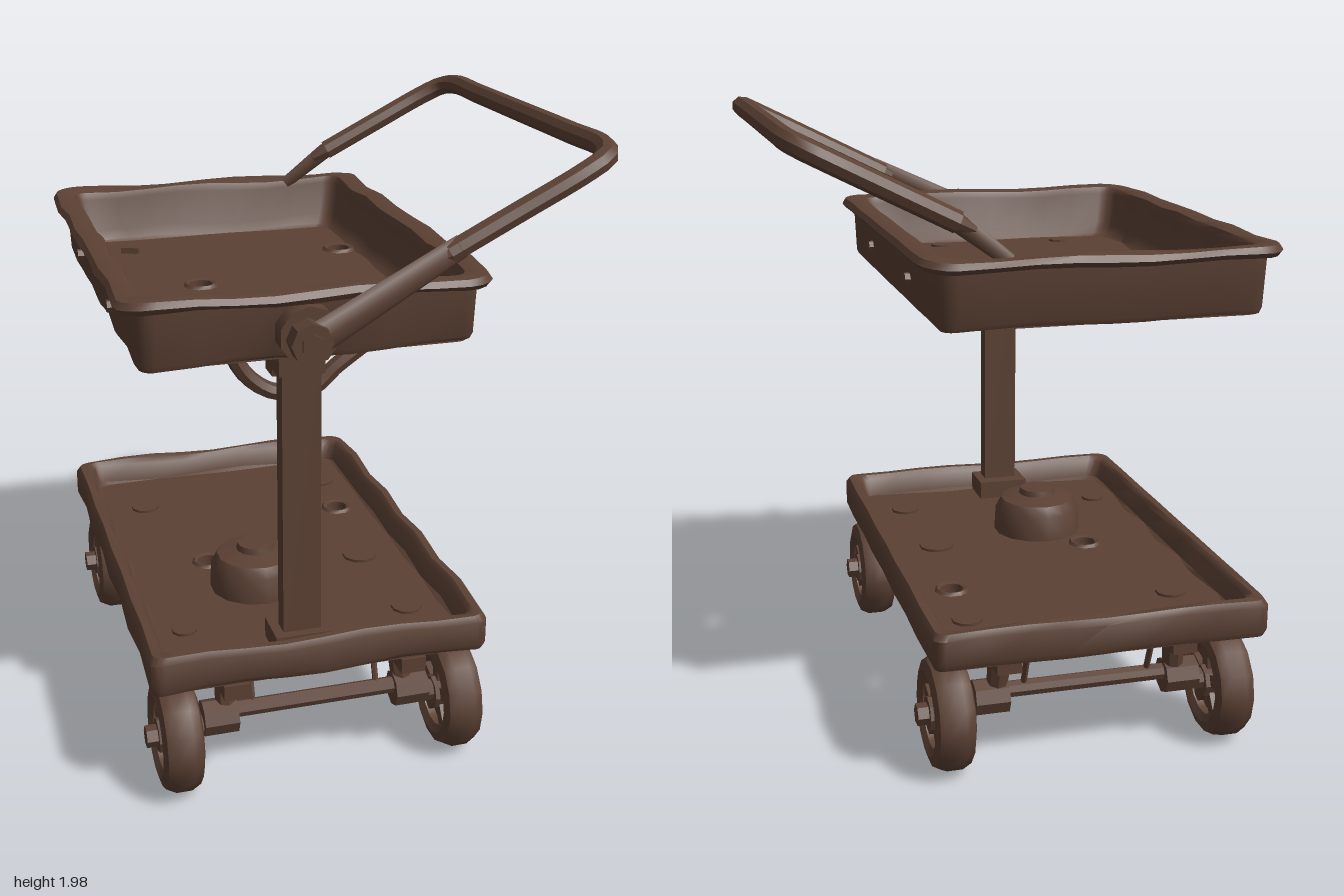
import * as THREE from 'three';
import { toCreasedNormals } from 'three/addons/utils/BufferGeometryUtils.js';

const brown = new THREE.MeshStandardMaterial({ color: 0x5c4134 });
brown.name = 'rusty brown';
const MID = -0.165; // x of the trolley's centre line
const HOLES = [[-0.37, 0], [0.19, -0.3]];

function add(parent, name, geometry, x = 0, y = 0, z = 0) {
  const mesh = new THREE.Mesh(toCreasedNormals(geometry, 0.7), brown);
  mesh.name = name;
  mesh.position.set(x, y, z);
  parent.add(mesh);
  return mesh;
}

const V = (x, y, z) => new THREE.Vector3(x, y, z);

// Straight tapered bar between two points, optionally flattened in z
function bar(parent, name, a, b, r0, r1, flat = 1, sides = 8) {
  const g = new THREE.CylinderGeometry(r1, r0, a.distanceTo(b), sides).scale(1, 1, flat);
  const mesh = add(parent, name, g, ...a.clone().lerp(b, 0.5).toArray());
  mesh.quaternion.setFromUnitVectors(V(0, 1, 0), b.clone().sub(a).normalize());
  return mesh;
}

// Disc whose axis runs along x or z
function disc(parent, name, r, length, axis, x, y, z, sides = 10) {
  const g = new THREE.CylinderGeometry(r, r, length, sides);
  if (axis === 'x') g.rotateZ(Math.PI / 2);
  if (axis === 'z') g.rotateX(Math.PI / 2);
  return add(parent, name, g, x, y, z);
}

// Rounded rectangle outline as [x, z] points, with subdivided sides
function outline(x0, x1, z0, z1, r) {
  const centres = [[x1 - r, z1 - r], [x0 + r, z1 - r], [x0 + r, z0 + r], [x1 - r, z0 + r]];
  const arc = (k, t) => {
    const a = (k + t) * Math.PI / 2;
    return [centres[k % 4][0] + r * Math.cos(a), centres[k % 4][1] + r * Math.sin(a)];
  };
  const pts = [];
  for (let k = 0; k < 4; k++) {
    for (let i = 0; i <= 4; i++) pts.push(arc(k, i / 4));
    const a = arc(k, 1), b = arc((k + 1) % 4, 0);
    for (let i = 1; i < 8; i++) pts.push([a[0] + (b[0] - a[0]) * i / 8, a[1] + (b[1] - a[1]) * i / 8]);
  }
  return pts;
}

// Tray: walls lofted through inset outlines, plus a pierced floor.
// rings: [inset, y, corner radius], from the outer bottom over the rim to the floor
function tray(parent, name, [x0, x1, z0, z1], rings, floorY, bottomY, floorInset) {
  const group = new THREE.Group();
  group.name = name;
  parent.add(group);
  const pos = [], index = [];
  let n = 0;
  rings.forEach(([d, y, r], i) => {
    const pts = outline(x0 + d, x1 - d, z0 + d, z1 - d, r);
    n = pts.length;
    pts.forEach(([x, z], j) => {
      const dent = 0.005 * Math.sin(11 * x + 17 * z + i * 0.4); // beaten metal
      pos.push(x + dent * 0.8, y + dent, z - dent * 0.8);
      if (i === rings.length - 1) return;
      const a = i * n + j, b = i * n + (j + 1) % n;
      index.push(a, a + n, b, b, a + n, b + n);
    });
  });
  const wall = new THREE.BufferGeometry();
  wall.setAttribute('position', new THREE.Float32BufferAttribute(pos, 3));
  wall.setIndex(index);
  add(group, name + 'Wall', wall);

  const d = floorInset;
  const shape = new THREE.Shape(outline(x0 + d, x1 - d, z0 + d, z1 - d, 0.04).map(p => new THREE.Vector2(...p)));
  for (const [x, z] of HOLES) shape.holes.push(new THREE.Path().absarc(x, z, 0.038, 0, Math.PI * 2, true));
  const floor = new THREE.ExtrudeGeometry(shape, { depth: floorY - bottomY, bevelEnabled: false, curveSegments: 5 });
  add(group, name + 'Floor', floor.rotateX(Math.PI / 2), 0, floorY, 0);

  // Worn collars around the drain holes
  for (const [x, z] of HOLES) for (const y of [floorY, bottomY]) {
    add(group, 'holeCollar', new THREE.TorusGeometry(0.047, 0.011, 5, 10).rotateX(Math.PI / 2), x, y, z);
  }
  return group;
}

function wheel(parent, x, z, side) {
  const group = new THREE.Group();
  group.name = 'wheel';
  group.position.set(x, 0.19, z);
  parent.add(group);
  const profile = [[0.112, -0.05], [0.135, -0.065], [0.168, -0.055], [0.184, -0.025], [0.184, 0.025],
    [0.168, 0.055], [0.135, 0.065], [0.112, 0.05], [0.112, -0.05]].map(p => new THREE.Vector2(...p));
  add(group, 'tyre', new THREE.LatheGeometry(profile, 14).rotateZ(Math.PI / 2));
  disc(group, 'wheelDisc', 0.118, 0.05, 'x', 0, 0, 0, 14);
  for (let i = 0; i < 5; i++) {
    const a = i * Math.PI * 2 / 5;
    const spoke = add(group, 'spoke', new THREE.BoxGeometry(0.09, 0.075, 0.04), 0, 0.08 * Math.cos(a), 0.08 * Math.sin(a));
    spoke.rotation.x = a;
  }
  disc(group, 'hub', 0.055, 0.12, 'x', 0, 0, 0, 8);
  disc(group, 'axleNut', 0.035, 0.09, 'x', side * 0.05, 0, 0, 6);
}

// Axle with a mirrored pair of wheels and brackets
function axle(parent, z) {
  const group = new THREE.Group();
  group.name = 'axle';
  parent.add(group);
  disc(group, 'axleRod', 0.027, 0.58, 'x', MID, 0.24, z, 8);
  for (const s of [-1, 1]) {
    const at = d => MID + s * d;
    wheel(group, at(0.455), z, s);
    add(group, 'mountPlate', new THREE.BoxGeometry(0.08, 0.05, 0.26), at(0.285), 0.38, z);
    bar(group, 'bracketLeg', V(at(0.285), 0.4, z - 0.03), V(at(0.295), 0.23, z), 0.04, 0.032);
    disc(group, 'knuckle', 0.058, 0.11, 'x', at(0.315), 0.225, z, 8);
    disc(group, 'stubAxle', 0.035, 0.14, 'x', at(0.37), 0.2, z, 8);
    bar(group, 'strut', V(at(0.205), 0.41, z - 0.06), V(at(0.205), 0.25, z), 0.01, 0.01, 1, 6);
  }
}

export function createModel() {
  const model = new THREE.Group();
  model.name = 'trolley';

  // Lower deck
  const lower = tray(model, 'lowerTray', [-0.71, 0.37, -0.82, 0.755],
    [[0.03, 0.405, 0.03], [0.01, 0.41, 0.03], [0, 0.43, 0.04], [0, 0.51, 0.04], [0.012, 0.53, 0.04],
      [0.035, 0.53, 0.04], [0.05, 0.515, 0.04], [0.065, 0.455, 0.04], [0.09, 0.44, 0.04]], 0.45, 0.405, 0.02);
  const dome = [[0.155, 0], [0.15, 0.09], [0.13, 0.125], [0.065, 0.14], [0.06, 0.16], [0, 0.162]];
  add(lower, 'dome', new THREE.LatheGeometry(dome.map(p => new THREE.Vector2(...p)), 14), -0.25, 0.445, 0.2);
  for (const [x, z, r] of [[0.15, 0.1, 0.06], [0.2, -0.55, 0.05], [-0.5, -0.5, 0.05], [-0.55, 0.45, 0.04], [0.18, 0.5, 0.05]])
    disc(lower, 'rivet', r, 0.014, 'y', x, 0.452, z);
  for (const [x, z] of [[-0.08, 0.06], [-0.08, -0.4], [-0.4, 0.35]]) disc(lower, 'undersideBolt', 0.05, 0.03, 'y', x, 0.4, z, 8);

  // Upper tray with rolled rim
  const upper = tray(model, 'upperTray', [-0.755, 0.37, -0.755, 0.735],
    [[0.085, 1.412, 0.03], [0.062, 1.415, 0.04], [0.054, 1.43, 0.05], [0.045, 1.59, 0.06], [0.012, 1.592, 0.09],
      [0, 1.607, 0.1], [0.012, 1.625, 0.09], [0.045, 1.63, 0.07], [0.075, 1.622, 0.05], [0.085, 1.6, 0.045],
      [0.1, 1.49, 0.045], [0.12, 1.455, 0.04], [0.15, 1.44, 0.04]], 1.45, 1.412, 0.07);
  add(upper, 'loosePebble', new THREE.BoxGeometry(0.06, 0.03, 0.03), -0.52, 1.455, -0.46).rotation.y = -0.4;
  for (const [x, z] of [[0.03, 0.53], [-0.42, 0.53]]) disc(upper, 'floorRivet', 0.032, 0.014, 'y', x, 1.45, z, 8);
  disc(upper, 'undersideBolt', 0.065, 0.03, 'y', 0.2, 1.402, -0.42, 8);
  for (const z of [-0.3, 0.3]) for (const s of [-1, 1]) disc(upper, 'sideRivet', 0.02, 0.03, 'x', MID - 0.03 + s * 0.515, 1.5, z, 6);

  // Post between the decks
  add(model, 'post', new THREE.BoxGeometry(0.12, 0.97, 0.06), -0.22, 0.925, 0.63);
  add(model, 'postFoot', new THREE.BoxGeometry(0.18, 0.08, 0.14), -0.22, 0.475, 0.62);
  add(model, 'postHead', new THREE.BoxGeometry(0.14, 0.06, 0.08), -0.22, 1.385, 0.625);

  // Curved brace under the upper tray
  const brace = new THREE.CatmullRomCurve3([V(-0.41, 1.42, 0.545), V(-0.36, 1.33, 0.545), V(-0.28, 1.27, 0.545),
    V(-0.16, 1.265, 0.545), V(-0.08, 1.33, 0.545), V(0.05, 1.42, 0.545)]);
  add(model, 'brace', new THREE.TubeGeometry(brace, 18, 0.026, 7));
  disc(model, 'braceNut', 0.075, 0.09, 'y', -0.22, 1.37, 0.53, 6);

  // Handle
  const handle = new THREE.Group();
  handle.name = 'handle';
  model.add(handle);
  const p = (x, z) => V(x, 1.5 + 0.502 * (x + 0.2), z);
  const path = new THREE.CatmullRomCurve3([p(0.2, 0.72), p(0.4, 0.718), p(0.62, 0.715), p(0.69, 0.695), p(0.716, 0.63),
    p(0.718, 0.4), p(0.718, 0), p(0.718, -0.35), p(0.716, -0.57), p(0.69, -0.635), p(0.62, -0.657), p(0.45, -0.66), p(0.25, -0.66)]);
  add(handle, 'handleBar', new THREE.TubeGeometry(path, 60, 0.034, 8));
  bar(handle, 'frontArm', V(-0.23, 1.49, 0.785), p(0.24, 0.72), 0.05, 0.036, 0.45);
  bar(handle, 'frontArmEnd', p(0.17, 0.72), p(0.23, 0.72), 0.02, 0.034);
  bar(handle, 'rearArmEnd', p(0.2, -0.66), p(0.27, -0.66), 0.015, 0.034);
  bar(handle, 'rearArm', V(0.1, 1.61, -0.675), p(0.25, -0.66), 0.022, 0.03, 0.4);

  // Pivot joint on the front wall
  disc(model, 'pivotPlate', 0.09, 0.08, 'z', -0.22, 1.5, 0.71, 10);
  disc(model, 'pivotBoss', 0.062, 0.07, 'z', -0.23, 1.495, 0.775, 8);
  disc(model, 'pivotBolt', 0.035, 0.04, 'z', -0.23, 1.495, 0.8, 6);

  axle(model, 0.615);
  axle(model, -0.635);
  return model;
}
